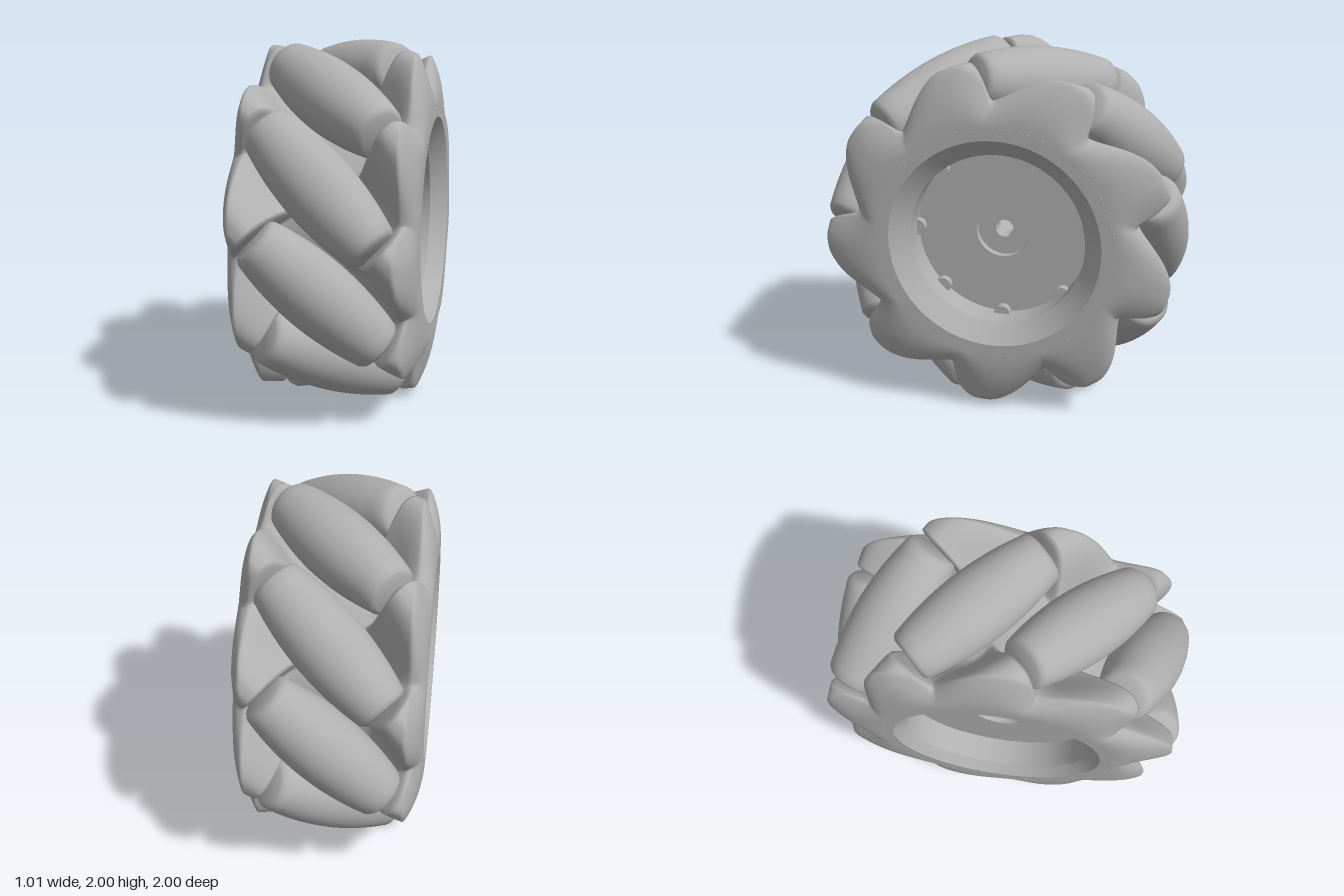
import * as THREE from 'three';
import { toCreasedNormals } from 'three/addons/utils/BufferGeometryUtils.js';

const COUNT = 9;              // rollers around the wheel
const STEP = (Math.PI * 2) / COUNT;
const PHASE = THREE.MathUtils.degToRad(22);
const R = 0.805;              // distance of roller centres from the axle
const HALF = 0.503;           // half width of the wheel
const ROLLER_HALF = 0.435;
const smooth = THREE.MathUtils.smoothstep;

// Height of the finger holding one roller end; s runs along the roller, p across it
function finger(s, p) {
  const across = p > 0 ? 1 - smooth(p, 0.03, 0.23) : 1 - smooth(-p, 0.0, 0.3);
  return smooth(s, 0.435, 0.475) * across;
}

// Outer radius of the hub at angle a and axial position x
function hubRadius(a, x) {
  const ax = Math.abs(x), side = x < 0 ? -1 : 1;
  const base = 0.61 + 0.16 * smooth(ax, 0.2, 0.42);
  let lobe = 0;
  for (let k = 0; k < COUNT; k++) {
    let d = a - PHASE - k * STEP;
    d = Math.atan2(Math.sin(d), Math.cos(d));
    const t = -d * 0.87 * side;
    lobe = Math.max(lobe, finger((ax + t) * Math.SQRT1_2, (ax - t) * Math.SQRT1_2));
  }
  const full = base + (0.965 - base) * lobe;
  // round the rim over towards the flat side face
  const edge = Math.sqrt(Math.min(1, Math.max(0, (HALF - ax) / 0.08)));
  return 0.65 + (full - 0.65) * edge;
}

// Lobed outer skin, made of rings along the axle
function hubSkin() {
  const rings = 80, seg = 360, pos = [], index = [];
  for (let i = 0; i <= rings; i++) {
    const x = HALF * Math.sin((i / rings - 0.5) * Math.PI);
    for (let j = 0; j < seg; j++) {
      const a = (j / seg) * Math.PI * 2, r = hubRadius(a, x);
      pos.push(x, r * Math.sin(a), r * Math.cos(a));
      if (i === rings) continue;
      const j2 = (j + 1) % seg;
      const p = i * seg + j, q = p + seg, u = (i + 1) * seg + j2, v = i * seg + j2;
      index.push(p, q, u, p, u, v);
    }
  }
  const g = new THREE.BufferGeometry();
  g.setAttribute('position', new THREE.Float32BufferAttribute(pos, 3));
  g.setIndex(index);
  g.computeVertexNormals();
  return g;
}

function lathe(points, seg) {
  const g = new THREE.LatheGeometry(points.map(([r, y]) => new THREE.Vector2(r, y)), seg);
  return toCreasedNormals(g, 0.5);
}

// Barrel whose bulge follows the round outline of the wheel
function rollerGeometry() {
  const pts = [], n = 16;
  const radius = (s) => 1 - Math.sqrt(R * R + (s * s) / 2);
  const end = radius(ROLLER_HALF);
  pts.push([0, -ROLLER_HALF], [end - 0.025, -ROLLER_HALF], [end - 0.008, -ROLLER_HALF + 0.008]);
  for (let i = 0; i <= n; i++) {
    const s = (i / n * 2 - 1) * (ROLLER_HALF - 0.025);
    pts.push([radius(s), s]);
  }
  pts.push([end - 0.008, ROLLER_HALF - 0.008], [end - 0.025, ROLLER_HALF], [0, ROLLER_HALF]);
  return lathe(pts, 40);
}

export function createModel() {
  const grey = new THREE.MeshStandardMaterial({ color: 0xb0b0b0 });
  grey.name = 'grey';
  const model = new THREE.Group();
  model.name = 'rollerWheel';
  const wheel = new THREE.Group();
  wheel.name = 'wheel';
  wheel.position.y = 1;
  model.add(wheel);
  const add = (geometry, name, parent = wheel) => {
    const m = new THREE.Mesh(geometry, grey);
    m.name = name;
    parent.add(m);
    return m;
  };

  add(hubSkin(), 'lobedHub');

  // Side faces, recesses, web and axle bore
  const core = lathe([
    [0.65, HALF], [0.58, HALF], [0.48, 0.41], [0.48, 0.25], [0.15, 0.25], [0.15, 0.21],
    [0.05, 0.21], [0.05, 0.1], [0.15, 0.1], [0.15, -0.31], [0.5, -0.31], [0.52, -0.45],
    [0.58, -HALF], [0.65, -HALF],
  ], 96);
  core.rotateZ(-Math.PI / 2);
  add(core, 'hubCore');

  // Small round lugs around the floor of the recess
  const lug = new THREE.CylinderGeometry(0.045, 0.045, 0.05, 20);
  lug.rotateZ(Math.PI / 2);
  for (let i = 0; i < 8; i++) {
    const a = (i * Math.PI) / 4;
    add(lug, 'lug').position.set(0.27, 0.48 * Math.sin(a), 0.48 * Math.cos(a));
  }

  // Slanted rollers
  const roller = rollerGeometry();
  roller.rotateZ(Math.PI / 4);
  for (let k = 0; k < COUNT; k++) {
    const mount = new THREE.Group();
    mount.name = 'rollerMount';
    mount.rotation.x = -(PHASE + k * STEP);
    wheel.add(mount);
    add(roller, 'roller', mount).position.z = R;
  }
  return model;
}
